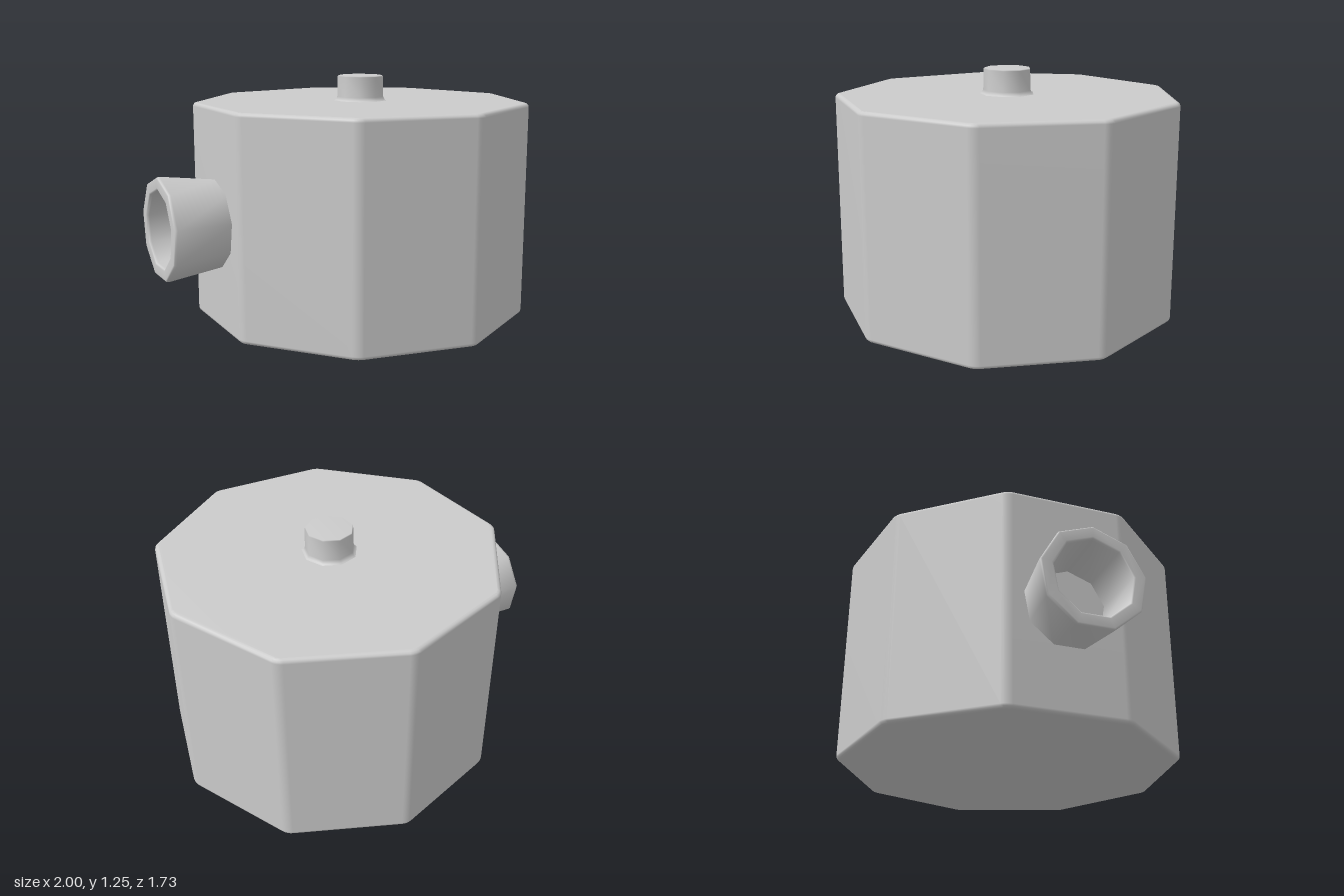
import * as THREE from 'three';
import { mergeVertices } from 'three/addons/utils/BufferGeometryUtils.js';

const SIDES = 9;
const CENTRE_X = 0.123;

// Welds the geometry and gives it area-weighted smooth normals, so flats stay flat and bevels blend
function smooth(geometry) {
  geometry.deleteAttribute('uv');
  geometry.deleteAttribute('normal');
  const welded = mergeVertices(geometry, 1e-4);
  welded.computeVertexNormals();
  return welded;
}

// Nine-sided outline with softly rounded corners
function roundedPolygon(radius, corner) {
  const half = Math.PI / SIDES, steps = 4, points = [];
  const inner = radius - corner / Math.cos(half);
  for (let i = 0; i < SIDES; i++) {
    const a = 2 * half * i;
    for (let j = 0; j <= steps; j++) {
      const b = a - half + (2 * half * j) / steps;
      points.push(new THREE.Vector2(
        inner * Math.cos(a) + corner * Math.cos(b),
        inner * Math.sin(a) + corner * Math.sin(b)));
    }
  }
  return new THREE.Shape(points);
}

// Nine-sided lathe with one corner on +x
function lathe(profile) {
  const points = profile.map(([r, y]) => new THREE.Vector2(r, y));
  return smooth(new THREE.LatheGeometry(points, SIDES, Math.PI / 2));
}

export function createModel() {
  const group = new THREE.Group();
  const material = new THREE.MeshStandardMaterial({ color: 0xcccccc });
  const add = (name, geometry) => {
    const mesh = new THREE.Mesh(geometry, material);
    mesh.name = name;
    group.add(mesh);
    return mesh;
  };

  // Drum-shaped housing with small bevels at top and bottom
  const height = 1.12, bevel = 0.02;
  const housing = new THREE.ExtrudeGeometry(roundedPolygon(0.881, 0.08), {
    depth: height - 2 * bevel, bevelThickness: bevel, bevelSize: bevel,
    bevelOffset: -bevel, bevelSegments: 3,
  });
  housing.translate(0, 0, bevel).rotateX(-Math.PI / 2);
  add('housing', smooth(housing)).position.x = CENTRE_X;

  // Short stub on the lid with a fillet at its foot
  add('topStub', lathe([
    [0.146, 1.117], [0.131, 1.124], [0.123, 1.14],
    [0.121, 1.245], [0.118, 1.25], [0, 1.25],
  ])).position.x = CENTRE_X;

  // Flared hollow pipe on the side, closed inside by the housing wall
  const pipe = add('sidePipe', lathe([
    [0.22, 0.69], [0.259, 0.985], [0.257, 0.996], [0.25, 1],
    [0.205, 1], [0.197, 0.996], [0.194, 0.985], [0.185, 0.69],
  ]));
  pipe.rotation.z = Math.PI / 2;
  pipe.position.y = 0.541;

  return group;
}
